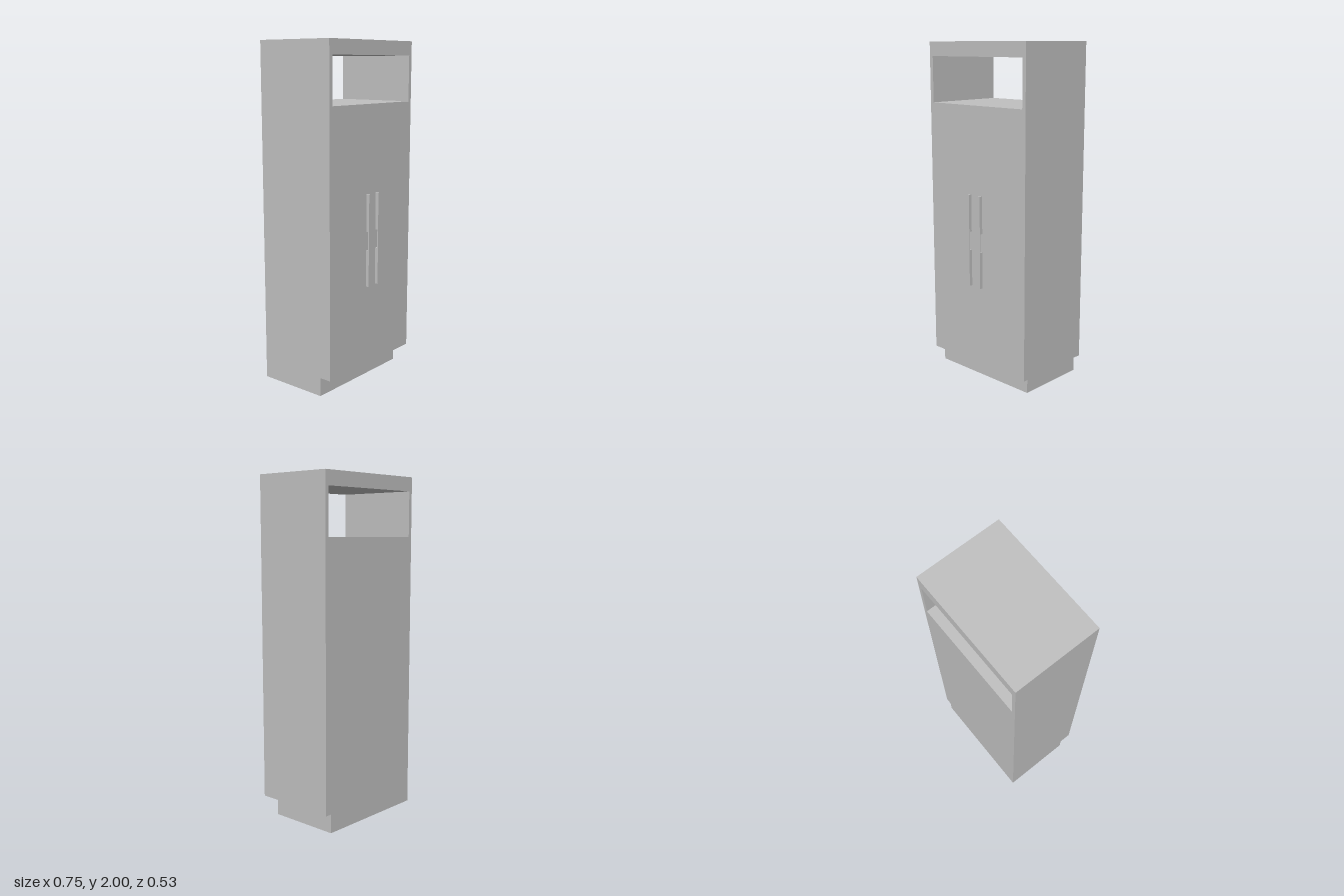
import * as THREE from 'three';

export function createModel() {
  const group = new THREE.Group();
  group.name = 'cabinet';
  const grey = new THREE.MeshStandardMaterial({ color: 0xc0c0c0 });
  grey.name = 'light grey';

  // Box given by its lower and upper corners
  const box = (name, [x0, y0, z0], [x1, y1, z1], parent = group) => {
    const mesh = new THREE.Mesh(new THREE.BoxGeometry(x1 - x0, y1 - y0, z1 - z0), grey);
    mesh.position.set((x0 + x1) / 2, (y0 + y1) / 2, (z0 + z1) / 2);
    mesh.name = name;
    parent.add(mesh);
  };

  const W = 0.376, I = 0.352, B = -0.263, F = 0.243;
  const floor = 0.11, shelf = 1.65, t = 0.022;

  // Plinth, set back from the front and from the left side
  box('plinth', [-W, 0, B], [0.336, floor, 0.17]);

  // Carcass
  box('rightSide', [-W, floor, B], [-I, 2, F]);
  box('leftSide', [I, floor, B], [W, 2, F]);
  box('topBoard', [-I, 1.917, B], [I, 2, F]);
  box('nicheShelf', [-I, shelf - t, B], [I, shelf, F]);
  box('bottomBoard', [-I, floor, B], [I, floor + t, F]);

  // Paired doors, back boards and handles
  for (const [side, x0, x1, h] of [['right', -I, 0, -0.046], ['left', 0, I, 0.041]]) {
    box(side + 'Door', [x0, floor + t, F - t], [x1, shelf - t, F]);
    box(side + 'BackBoard', [x0, floor + t, B], [x1, shelf - t, B + t]);

    // Slim bar on an upper and a lower mount with a gap between them
    const handle = new THREE.Group();
    handle.name = side + 'Handle';
    const a = h - 0.006, b = h + 0.006, bar = 0.257;
    box('bar', [a, 0.592, bar], [b, 1.14, 0.263], handle);
    box('lowerMount', [a, 0.592, F], [b, 0.81, bar], handle);
    box('upperMount', [a, 0.92, F], [b, 1.14, bar], handle);
    group.add(handle);
  }
  return group;
}
